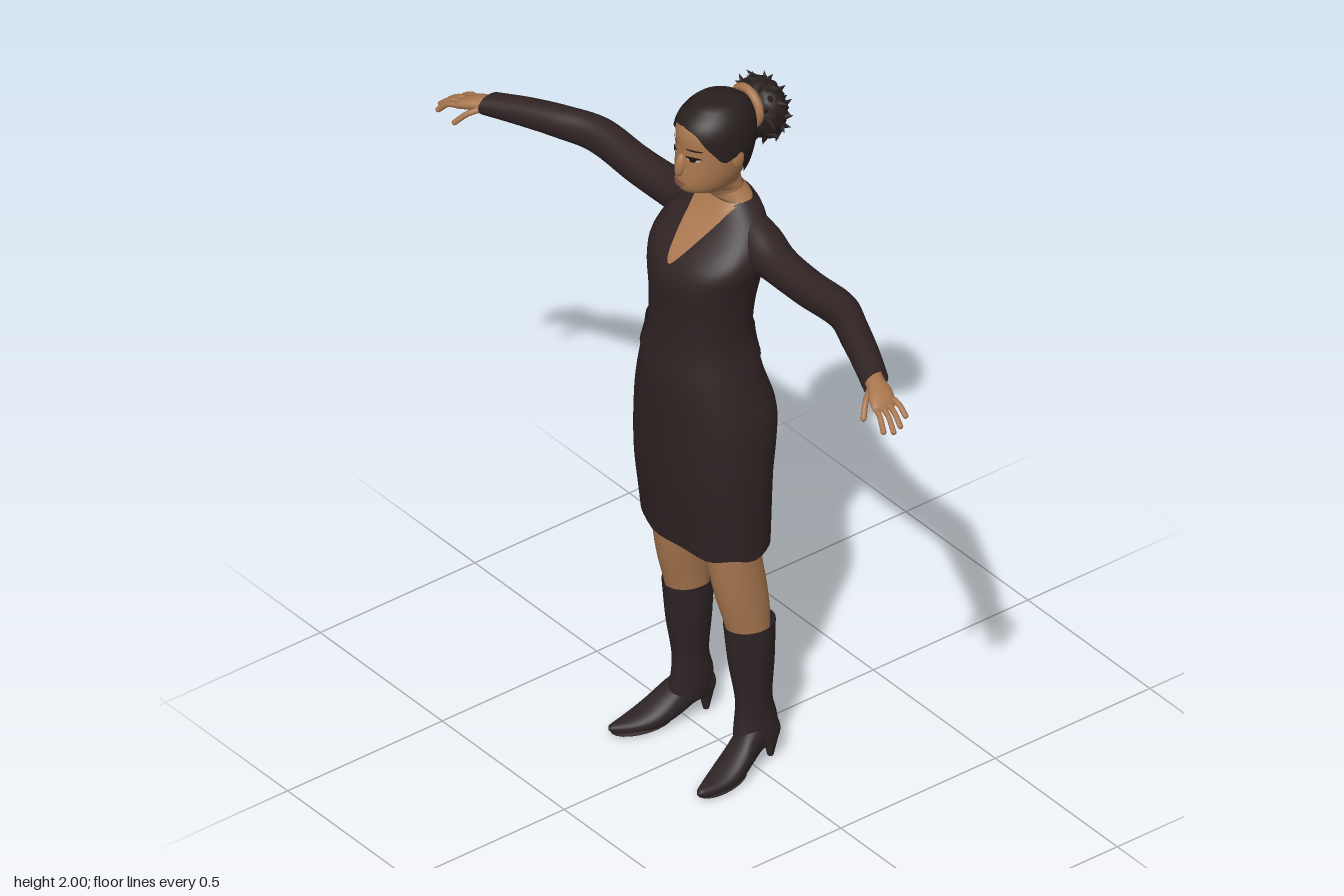
import * as THREE from 'three';

const mat = (name, color, side = THREE.FrontSide) => {
  const m = new THREE.MeshStandardMaterial({ color, side });
  m.name = name;
  return m;
};

// smooth (Hermite) interpolation of table rows, keyed on the first column
function sample(rows, k) {
  let i = 0;
  while (i < rows.length - 2 && k > rows[i + 1][0]) i++;
  const a = rows[i], b = rows[i + 1], h = b[0] - a[0];
  const t = THREE.MathUtils.clamp((k - a[0]) / h, 0, 1);
  const slope = (j, c) => {
    const p = rows[Math.max(j - 1, 0)], n = rows[Math.min(j + 1, rows.length - 1)];
    return (n[c] - p[c]) / (n[0] - p[0]);
  };
  return a.slice(1).map((v, n) => {
    const c = n + 1, t2 = t * t, t3 = t2 * t;
    return (2 * t3 - 3 * t2 + 1) * v + (t3 - 2 * t2 + t) * h * slope(i, c)
      + (3 * t2 - 2 * t3) * b[c] + (t3 - t2) * h * slope(i + 1, c);
  });
}

// grid surface from fn(u, v) -> [x, y, z]; closed joins the ends of u
function grid(fn, nu, nv, closed = true) {
  const pos = [], idx = [], cols = closed ? nu : nu + 1;
  for (let j = 0; j <= nv; j++) for (let i = 0; i < cols; i++) pos.push(...fn(i / nu, j / nv));
  for (let j = 0; j < nv; j++) for (let i = 0; i < nu; i++) {
    const n = (i + 1) % cols, a = j * cols + i, b = j * cols + n, c = b + cols, d = a + cols;
    idx.push(a, b, c, a, c, d);
  }
  const g = new THREE.BufferGeometry();
  g.setAttribute('position', new THREE.Float32BufferAttribute(pos, 3));
  g.setIndex(idx);
  g.computeVertexNormals();
  return g;
}

const pw = (v, p) => Math.sign(v) * Math.abs(v) ** p;
const lerp = THREE.MathUtils.lerp;

// point on an upright form; rows are [y, halfWidth, front, back, centreX]
function ringPoint(rows, y, ang, p = 1, off = 0) {
  const [w, f, b, cx = 0] = sample(rows, y);
  return [cx + (w + off) * pw(Math.sin(ang), p), y, (f + b) / 2 + ((f - b) / 2 + off) * pw(Math.cos(ang), p)];
}
const upright = (rows, y0, y1, nv, p = 1, off = 0, wave = 0) => grid((u, v) => {
  const ang = u * Math.PI * 2;
  return ringPoint(rows, lerp(y0 + wave * Math.sin(ang * 7), y1, v), ang, p, off);
}, 40, nv);

// thin panel lying on the front of an upright form, between x limits at each height
function frontPanel(rows, y0, y1, limits, p, off) {
  return grid((u, v) => {
    const y = lerp(y0, y1, v), [l, r] = limits(v), x = lerp(l, r, u);
    const [w, f, b] = sample(rows, y);
    const s = Math.min(1, Math.abs(x) / w) ** (1 / p);
    return [x, y, (f + b) / 2 + ((f - b) / 2) * Math.sqrt(1 - s * s) ** p + off];
  }, 16, 14, false);
}
const spot = (rows, x, y, rx, ry, off) => frontPanel(rows, y - ry, y + ry, v => {
  const w = rx * Math.sqrt(Math.max(0, 1 - (2 * v - 1) ** 2));
  return [x - w, x + w];
}, 1, off);

function mirrored(g) {
  const m = g.clone().scale(-1, 1, 1), ix = m.index.array;
  for (let i = 0; i < ix.length; i += 3) [ix[i], ix[i + 1]] = [ix[i + 1], ix[i]];
  m.computeVertexNormals();
  return m;
}

export function createModel() {
  const skin = mat('skin', 0xa9774f), dress = mat('dress cloth', 0x302324, THREE.DoubleSide);
  const boots = mat('boot leather', 0x2e2426, THREE.DoubleSide), hair = mat('hair', 0x281f1e, THREE.DoubleSide);
  const white = mat('eye white', 0xb8a898), iris = mat('iris', 0x1c1310), lip = mat('lips', 0x8a5844);
  const model = new THREE.Group();
  model.name = 'woman';
  const add = (name, g, m, parent = model) => {
    const mesh = new THREE.Mesh(g, m);
    mesh.name = name;
    parent.add(mesh);
    return mesh;
  };
  const pair = (name, g, m) => {
    add('left ' + name, g, m);
    add('right ' + name, mirrored(g), m);
  };

  // dress body with wavy hem
  const body = [[.69, .203, .165, -.08], [.75, .206, .172, -.082], [.9, .21, .19, -.09], [1.08, .204, .195, -.11],
    [1.2, .172, .195, -.08], [1.31, .143, .18, -.06], [1.4, .143, .175, -.065], [1.5, .157, .176, -.085],
    [1.55, .17, .155, -.09], [1.6, .162, .105, -.095], [1.65, .13, .05, -.097], [1.68, .095, .025, -.093],
    [1.695, .075, .015, -.086]];
  add('dress body', upright(body, .69, 1.695, 60, .88, 0, .006), dress);
  add('waist sash', upright(body, 1.245, 1.325, 6, .88, .006), dress);
  add('sash fold', frontPanel(body, 1.22, 1.32, v => [-.06, lerp(.03, .01, v)], .88, .01), dress);
  for (let i = 0; i < 3; i++) {
    const tab = add('back sash tab', new THREE.BoxGeometry(.09, .012, .008), dress);
    tab.position.set(0, 1.262 + i * .022, -.076 + i * .004);
  }

  // bare neckline and the top of the shoulders
  add('neckline', frontPanel(body, 1.545, 1.695, v => {
    const w = .004 + .07 * v ** .75;
    return [-w, w];
  }, .88, .004), skin);
  add('collar skin', upright([[1.69, .074, .016, -.083], [1.7, .066, .018, -.08], [1.72, .05, .026, -.066]],
    1.69, 1.72, 5), skin);

  // head and neck
  const head = [[1.62, .06, 0, -.075], [1.69, .054, .015, -.075], [1.72, .05, .03, -.064], [1.737, .051, .045, -.06],
    [1.745, .053, .098, -.06], [1.753, .056, .117, -.061], [1.77, .065, .126, -.064], [1.8, .076, .127, -.08],
    [1.84, .084, .123, -.09], [1.88, .088, .12, -.096], [1.92, .087, .119, -.095], [1.95, .078, .105, -.086],
    [1.975, .059, .075, -.064], [1.988, .038, .048, -.038], [1.995, .001, .003, .001]];
  add('head and neck', grid((u, v) => ringPoint(head, lerp(1.62, 1.995, Math.sin(v * Math.PI / 2)), u * Math.PI * 2),
    48, 60), skin);
  const nose = add('nose', new THREE.SphereGeometry(1, 16, 12), skin);
  nose.scale.set(.014, .034, .016);
  nose.position.set(0, 1.835, .123);
  nose.rotation.x = -.25;
  add('upper lip', spot(head, 0, 1.787, .024, .005, .005), lip);
  add('lower lip', spot(head, 0, 1.779, .02, .005, .006), lip);
  pair('eye white', spot(head, .037, 1.863, .017, .007, .002), white);
  pair('eye lid line', spot(head, .037, 1.868, .019, .004, .003), iris);
  pair('iris', spot(head, .037, 1.863, .008, .0065, .004), iris);
  pair('eyebrow', spot(head, .038, 1.89, .02, .003, .002), hair);
  pair('ear', new THREE.SphereGeometry(1, 14, 10).scale(.01, .03, .018).translate(.086, 1.85, .005), skin);

  // swept-back hair shell above a hairline that drops toward the nape
  const hairline = [[0, 1.945], [30, 1.932], [52, 1.89], [72, 1.855], [92, 1.862], [112, 1.81], [135, 1.775], [180, 1.765]];
  add('swept hair', grid((u, v) => {
    const ang = u * Math.PI * 2, deg = Math.abs(((u * 360 + 180) % 360) - 180);
    const p = new THREE.Vector3(...ringPoint(head, lerp(sample(hairline, deg)[0], 1.995, Math.sin(v * Math.PI / 2)), ang));
    const c = new THREE.Vector3(0, 1.88, .01);
    return p.add(p.clone().sub(c).setLength(.006)).toArray();
  }, 72, 26), hair);
  const tie = add('hair tie', new THREE.TorusGeometry(.05, .012, 10, 28), skin);
  tie.position.set(0, 1.925, -.092);

  // curly bun: lumpy core with tapered curls all round
  const bun = new THREE.Group();
  bun.name = 'curly bun';
  bun.position.set(-.008, 1.895, -.143);
  model.add(bun);
  const core = new THREE.SphereGeometry(1, 32, 24), cp = core.attributes.position;
  for (let i = 0; i < cp.count; i++) {
    const p = new THREE.Vector3().fromBufferAttribute(cp, i);
    const k = 1 + .07 * Math.sin(p.x * 11) * Math.sin(p.y * 10) * Math.cos(p.z * 9);
    cp.setXYZ(i, p.x * .082 * k, p.y * .085 * k, p.z * .056 * k);
  }
  core.computeVertexNormals();
  add('bun core', core, hair, bun);
  for (let i = 0; i < 54; i++) {
    const y = 1 - 2 * (i + .5) / 54, r = Math.sqrt(1 - y * y), a = i * 2.39996;
    const d = new THREE.Vector3(r * Math.cos(a), y, r * Math.sin(a));
    if (d.z > .6) continue;
    const curl = add('curl', new THREE.ConeGeometry(.014, .036, 6), hair, bun);
    curl.position.set(d.x * .085, d.y * .085, d.z * .054);
    const lean = new THREE.Vector3(Math.sin(i * 4.1), Math.cos(i * 2.7), Math.sin(i * 1.9)).multiplyScalar(.5);
    curl.quaternion.setFromUnitVectors(new THREE.Vector3(0, 1, 0), d.add(lean).normalize());
  }

  // sleeves and palms; rows are [x, y, z, halfHeight, halfDepth]
  const across = (rows, nv) => grid((u, v) => {
    const x = lerp(rows[0][0], rows[rows.length - 1][0], v), [y, z, h, d] = sample(rows, x), a = u * Math.PI * 2;
    return [x, y + h * Math.cos(a), z + d * Math.sin(a)];
  }, 24, nv);
  pair('sleeve', across([[.07, 1.607, -.035, .07, .05], [.14, 1.59, -.032, .068, .06], [.22, 1.58, -.024, .053, .053],
    [.35, 1.582, -.016, .05, .048], [.5, 1.597, -.006, .049, .046], [.6, 1.6, .034, .045, .045],
    [.7, 1.595, .075, .039, .043], [.79, 1.587, .115, .031, .04]], 40), dress);
  pair('palm', across([[.75, 1.588, .1, .024, .03], [.79, 1.585, .116, .021, .028], [.83, 1.578, .132, .019, .037],
    [.86, 1.568, .144, .014, .036], [.875, 1.562, .148, .002, .028]], 16), skin);
  const fingers = [
    [[.84, 1.572, .112], [.875, 1.566, .109], [.905, 1.546, .11]],
    [[.85, 1.57, .132], [.892, 1.562, .137], [.924, 1.538, .142]],
    [[.85, 1.57, .15], [.895, 1.56, .158], [.928, 1.533, .167]],
    [[.845, 1.57, .166], [.885, 1.56, .177], [.912, 1.533, .187]],
    [[.79, 1.58, .135], [.815, 1.565, .168], [.838, 1.536, .193]]];
  for (const f of fingers) {
    const pts = f.map(p => new THREE.Vector3(...p));
    pair('finger', new THREE.TubeGeometry(new THREE.CatmullRomCurve3(pts), 8, .0078, 8), skin);
    pair('fingertip', new THREE.SphereGeometry(.0078, 8, 6).translate(...f[2]), skin);
  }

  // legs and boot shafts
  pair('leg', upright([[.4, .048, .058, -.055, .125], [.46, .051, .074, -.058, .123], [.55, .057, .098, -.05, .118],
    [.69, .064, .12, -.032, .11], [.9, .075, .13, -.045, .105]], .4, .9, 16), skin);
  pair('boot shaft', upright([[.07, .04, .05, -.08, .135], [.1, .042, .052, -.081, .133], [.14, .04, .046, -.077, .13],
    [.2, .041, .041, -.062, .13], [.32, .052, .06, -.068, .128], [.44, .06, .072, -.071, .126]], .07, .44, 20), boots);

  // pointed boot feet; rows are [z, x, y, halfWidth, halfHeight]
  const foot = [[-.086, .132, .088, .001, .001], [-.078, .132, .088, .022, .027], [-.055, .133, .09, .035, .042],
    [-.01, .137, .09, .039, .05], [.03, .145, .07, .042, .052], [.07, .155, .045, .046, .04],
    [.11, .163, .029, .044, .028], [.15, .171, .022, .034, .02], [.185, .178, .02, .021, .016],
    [.208, .182, .022, .009, .009], [.212, .183, .022, .001, .001]];
  pair('boot foot', grid((u, v) => {
    const z = lerp(-.086, .212, v), [x, y, w, h] = sample(foot, z), a = u * Math.PI * 2;
    return [x - w * Math.sin(a), y + h * pw(Math.cos(a), .85), z];
  }, 28, 40), boots);
  pair('boot sole', new THREE.SphereGeometry(1, 20, 10).scale(.04, .008, .085).rotateY(.18).translate(.165, .008, .12), boots);
  pair('boot heel', new THREE.CylinderGeometry(.024, .008, .075, 14).translate(.132, .0375, -.063), boots);

  return model;
}
